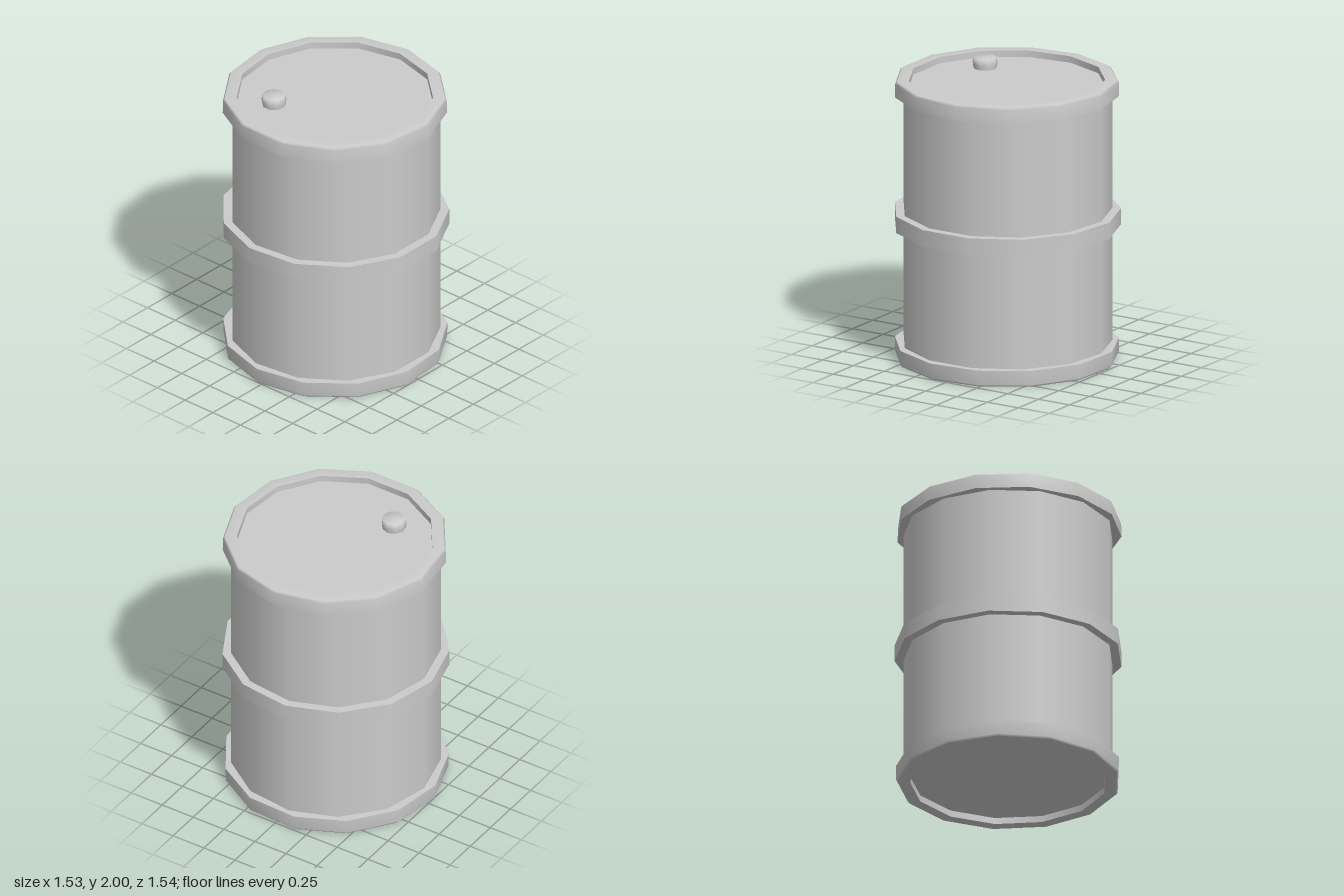
import * as THREE from 'three';

const SIDES = 13;
const material = new THREE.MeshStandardMaterial({ color: 0xcccccc });

// Each run of [radius, y] points turns into one smooth surface; runs meet in sharp edges.
function turned(name, runs, phase = 0, sides = SIDES) {
  const part = new THREE.Group();
  part.name = name;
  runs.forEach((run, i) => {
    const points = run.map(([r, y]) => new THREE.Vector2(r, y));
    const mesh = new THREE.Mesh(new THREE.LatheGeometry(points, sides, Math.PI + phase), material);
    mesh.name = `${name}Surface${i + 1}`;
    part.add(mesh);
  });
  return part;
}

export function createModel() {
  const barrel = new THREE.Group();
  barrel.name = 'barrel';

  // Wall
  barrel.add(turned('wall', [[[0.715, 0.05], [0.715, 1.92]]], 0.12));

  // Recessed ends
  barrel.add(turned('lid', [[[0.68, 1.925], [0, 1.925]]]));
  barrel.add(turned('base', [[[0, 0.045], [0.68, 0.045]]], 0.2));

  // Rims: soft outer corner, sharp ledge against the wall and sharp inner lip
  barrel.add(turned('topRim', [
    [[0.66, 1.86], [0.765, 1.86]],
    [[0.765, 1.86], [0.763, 1.955], [0.75, 1.97], [0.67, 1.97]],
    [[0.67, 1.97], [0.67, 1.92]],
  ]));
  barrel.add(turned('bottomRim', [
    [[0.67, 0.05], [0.67, 0]],
    [[0.67, 0], [0.75, 0], [0.763, 0.015], [0.765, 0.115]],
    [[0.765, 0.115], [0.66, 0.115]],
  ], 0.2));

  // Middle hoop
  barrel.add(turned('hoop', [
    [[0.66, 0.93], [0.775, 0.93]],
    [[0.775, 0.93], [0.775, 1.045]],
    [[0.775, 1.045], [0.66, 1.045]],
  ], 0.12));

  // Filler plug on the lid
  const plug = turned('plug', [[[0.08, 1.92], [0.086, 1.96], [0.078, 2], [0, 2]]], 0, 9);
  plug.position.set(-0.25, 0, 0.34);
  barrel.add(plug);

  return barrel;
}
